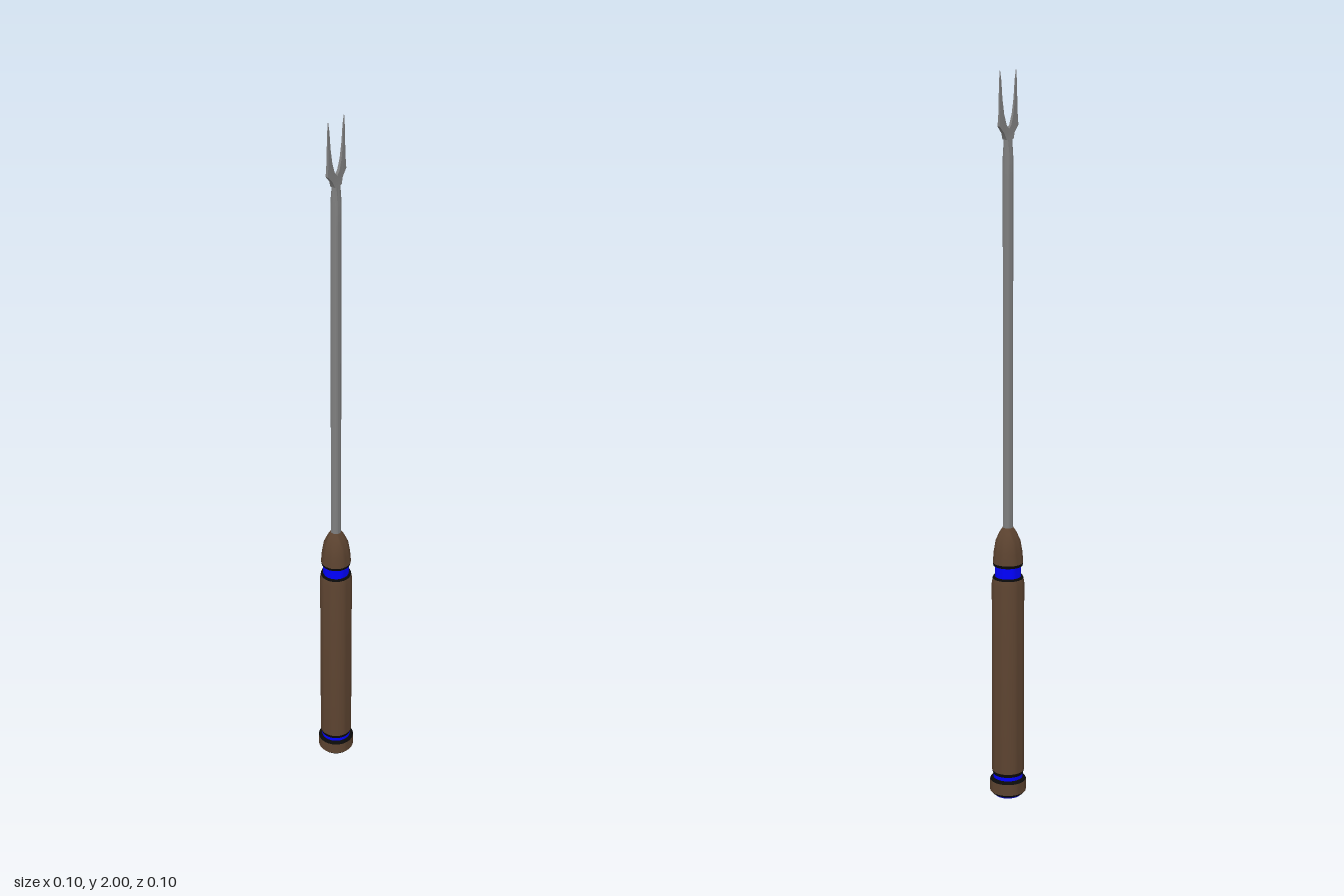
import * as THREE from 'three';
import { toCreasedNormals } from 'three/addons/utils/BufferGeometryUtils.js';

const material = (color) => new THREE.MeshStandardMaterial({ color });

export function createModel() {
  const group = new THREE.Group();
  const wood = material(0x5c4330);
  const blue = material(0x0000ff);
  const black = material(0x0a0a0a);
  const steel = material(0x808080);

  const add = (name, geometry, mat) => {
    const mesh = new THREE.Mesh(toCreasedNormals(geometry, 0.6), mat);
    mesh.name = name;
    group.add(mesh);
  };

  // Turned part: profile of [radius, y] from bottom to top
  const turned = (name, mat, profile) =>
    add(name, new THREE.LatheGeometry(profile.map(([r, y]) => new THREE.Vector2(r, y)), 32), mat);

  // Pommel
  turned('pommelCap', blue, [[0, 0], [0.036, 0.001], [0.044, 0.008]]);
  turned('pommelLowerEdge', black, [[0.044, 0.008], [0.05, 0.015]]);
  turned('pommel', wood, [[0.05, 0.015], [0.05, 0.048]]);
  turned('pommelUpperEdge', black, [[0.05, 0.048], [0.045, 0.055], [0.04, 0.055]]);
  turned('lowerBand', blue, [[0.041, 0.053], [0.041, 0.068]]);

  // Grip
  turned('gripLowerEdge', black, [[0.039, 0.066], [0.042, 0.066], [0.0445, 0.076]]);
  turned('grip', wood, [[0.0445, 0.076], [0.0445, 0.625], [0.042, 0.64]]);
  turned('gripUpperEdge', black, [[0.042, 0.64], [0.04, 0.645], [0.034, 0.645]]);
  turned('upperBand', blue, [[0.036, 0.643], [0.036, 0.68]]);

  // Tapered nose of the handle
  turned('noseEdge', black, [[0.034, 0.676], [0.04, 0.676], [0.0415, 0.684]]);
  turned('nose', wood, [[0.0415, 0.684], [0.039, 0.715], [0.034, 0.745], [0.024, 0.768], [0.015, 0.783], [0, 0.783]]);

  // Shaft, pressed flat in x towards the fork
  const halfThickness = (y) => {
    if (y < 1.78) return 0.014;
    if (y < 1.85) return THREE.MathUtils.mapLinear(y, 1.78, 1.85, 0.014, 0.004);
    return THREE.MathUtils.mapLinear(y, 1.85, 2, 0.004, 0.001);
  };
  const shaft = new THREE.CylinderGeometry(0.014, 0.014, 1.08, 12, 18);
  shaft.translate(0, 1.3, 0);
  const sp = shaft.attributes.position;
  for (let i = 0; i < sp.count; i++) sp.setX(i, sp.getX(i) * halfThickness(sp.getY(i)) / 0.014);
  add('shaft', shaft, steel);

  // Two-pronged fork: half outline [z, y], mirrored
  const half = [
    [0.013, 1.825], [0.02, 1.842], [0.036, 1.86], [0.033, 1.9], [0.033, 1.96],
    [0.031, 2], [0.027, 1.975], [0.024, 1.93], [0.018, 1.89], [0.009, 1.862], [0, 1.852],
  ];
  const outline = [...half, ...half.slice(0, -1).reverse().map(([z, y]) => [-z, y])];
  const shape = new THREE.Shape(outline.map(([z, y]) => new THREE.Vector2(z, y)));
  const fork = new THREE.ExtrudeGeometry(shape, { depth: 2, bevelEnabled: false });
  fork.translate(0, 0, -1);
  fork.rotateY(Math.PI / 2);
  const fp = fork.attributes.position;
  for (let i = 0; i < fp.count; i++) fp.setX(i, fp.getX(i) * halfThickness(fp.getY(i)));
  add('fork', fork, steel);

  return group;
}
